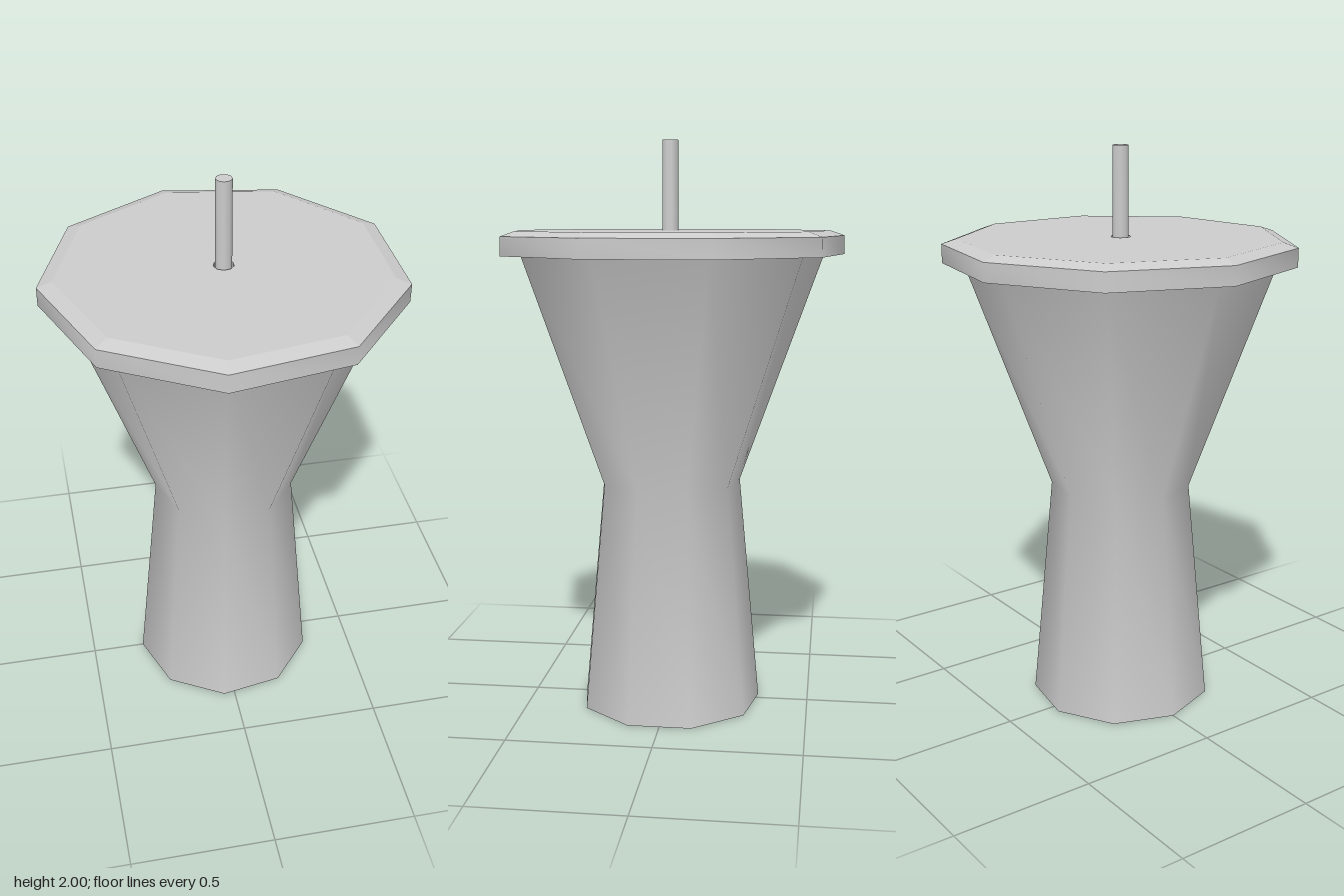
import * as THREE from 'three';
import { toCreasedNormals } from 'three/addons/utils/BufferGeometryUtils.js';

const SIDES = 9;

// Nine-sided turned part with one corner pointing to -x; profile rows are [radius, height]
function turned(name, profile, creaseDegrees) {
  const points = profile.map(([r, y]) => new THREE.Vector2(r, y));
  const lathe = new THREE.LatheGeometry(points, SIDES, -Math.PI / 2);
  const geometry = toCreasedNormals(lathe, THREE.MathUtils.degToRad(creaseDegrees));
  const material = new THREE.MeshStandardMaterial({ color: 0xcccccc });
  const mesh = new THREE.Mesh(geometry, material);
  mesh.name = name;
  return mesh;
}

export function createModel() {
  const model = new THREE.Group();
  model.name = 'lidded cup with straw';

  // Hollow cup: recessed foot, narrow waist, flared bowl
  const cup = turned('cup', [
    [0, 0.035], [0.3, 0.035], [0.305, 0],
    [0.325, 0], [0.25, 0.81], [0.54, 1.61], [0.555, 1.65],
    [0.535, 1.65], [0.23, 0.81], [0.28, 0.06], [0, 0.06],
  ], 50);

  // Lid skirt: outer wall, lower edge, inner wall and ceiling
  const skirt = turned('lidSkirt', [
    [0.035, 1.66], [0.59, 1.66], [0.59, 1.61], [0.611, 1.61], [0.611, 1.675],
  ], 50);

  // Lid top: faceted bevel and flat plate with a hole for the straw
  const plate = turned('lidTop', [
    [0.611, 1.675], [0.56, 1.692], [0.035, 1.692], [0.035, 1.66],
  ], 5);

  // Straw
  const straw = turned('straw', [
    [0, 0.2], [0.028, 0.2], [0.028, 2], [0, 2],
  ], 50);

  model.add(cup, skirt, plate, straw);
  // Centre the odd-sided outline
  for (const part of model.children) part.position.x = 0.017;
  return model;
}
